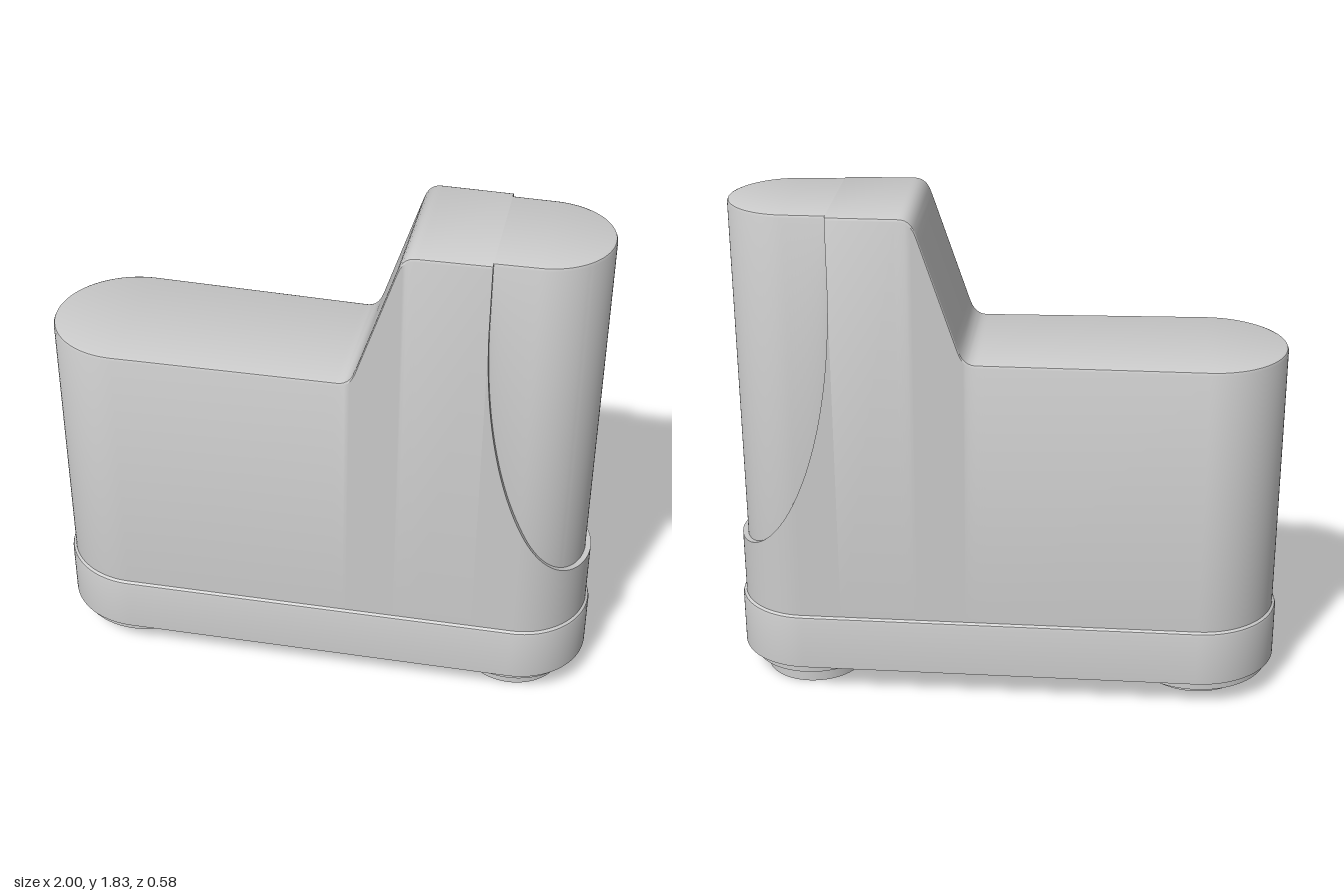
import * as THREE from 'three';
import { toCreasedNormals } from 'three/addons/utils/BufferGeometryUtils.js';

const material = new THREE.MeshStandardMaterial({ color: 0xcccccc });

// Tapered stadium plan: two end circles joined by tangent lines
const LEFT = { x: -0.708, r: 0.28 }, RIGHT = { x: 0.735, r: 0.25 };
const TILT = Math.asin((LEFT.r - RIGHT.r) / (RIGHT.x - LEFT.x));
const SPLIT = 0.593, INSET = 0.02, ROUND = 0.012;

// Stations along the front half of the outline, from the left tip to the right tip
function makeStations() {
  const list = [];
  const add = (cx, r, angle, recessed = false) =>
    list.push({ cx, r, nx: Math.sin(angle), nz: Math.cos(angle), recessed });
  const N = 24;
  for (let i = 0; i <= N; i++) add(LEFT.x, LEFT.r, THREE.MathUtils.lerp(-Math.PI / 2, TILT, i / N));
  const straight = (x, recessed) => {
    const t = (x - LEFT.x) / (RIGHT.x - LEFT.x);
    add(x, THREE.MathUtils.lerp(LEFT.r, RIGHT.r, t), TILT, recessed);
  };
  const dx = RIGHT.r * Math.sin(TILT);
  for (let i = 0; i <= 32; i++) straight(0.06 + 0.3 * i / 32 - dx, false);
  straight(SPLIT - dx, false);
  for (let i = 0; i < 20; i++) straight(SPLIT - dx + (RIGHT.x - SPLIT + dx) * (i / 20) ** 2, true);
  for (let i = 0; i <= 32; i++) add(RIGHT.x, RIGHT.r, THREE.MathUtils.lerp(TILT, Math.PI / 2, i / 32), true);
  return list;
}
const stations = makeStations();

const place = (s, offset, y) => new THREE.Vector3(
  s.cx + s.nx * (s.r - offset), y, Math.max(0, s.nz * (s.r - offset)));

// Lofts rows [y, offset] around the outline, mirrored to the back, with end caps
function loft(rowsOf) {
  const out = [];
  const tri = (a, b, c) => {
    const area = b.clone().sub(a).cross(c.clone().sub(a)).length();
    if (area > 1e-9) for (const p of [a, b, c]) out.push(p.x, p.y, p.z);
  };
  const quad = (a, b, c, d) => { tri(a, b, c); tri(a, c, d); };
  const flip = (p) => new THREE.Vector3(p.x, p.y, -p.z);
  const columns = stations.map((s) => rowsOf(s).map(([y, o]) => place(s, o, y)));
  for (let i = 0; i + 1 < columns.length; i++) {
    const p = columns[i], q = columns[i + 1], last = p.length - 1;
    for (let j = 0; j < last; j++) {
      quad(p[j], q[j], q[j + 1], p[j + 1]);
      quad(flip(q[j]), flip(p[j]), flip(p[j + 1]), flip(q[j + 1]));
    }
    quad(p[last], q[last], flip(q[last]), flip(p[last]));
    quad(q[0], p[0], flip(p[0]), flip(q[0]));
  }
  const geometry = new THREE.BufferGeometry();
  geometry.setAttribute('position', new THREE.Float32BufferAttribute(out, 3));
  return toCreasedNormals(geometry, 0.5);
}

// Top line: low deck, slope and tower, with filleted corners
function makeTopLine() {
  const path = new THREE.Path();
  path.moveTo(-1.1, 1.32);
  path.lineTo(0.09, 1.32);
  path.quadraticCurveTo(0.135, 1.32, 0.153, 1.375);
  path.lineTo(0.288, 1.78);
  path.quadraticCurveTo(0.304, 1.83, 0.345, 1.83);
  path.lineTo(1.1, 1.83);
  return path.getPoints(10);
}
const topLine = makeTopLine();
function topAt(x) {
  const i = Math.max(1, topLine.findIndex((p) => p.x >= x));
  const a = topLine[i - 1], b = topLine[i];
  return THREE.MathUtils.mapLinear(x, a.x, b.x, a.y, b.y);
}

// Lower edge of the recessed tower end: a quarter ellipse
function recessAt(x) {
  const u = THREE.MathUtils.clamp((0.985 - x) / (0.985 - SPLIT), 0, 1);
  return 1.6 - 1.045 * Math.sqrt(1 - u * u);
}

function bodyRows(s) {
  const x = s.cx + s.nx * s.r;
  const top = topAt(x), inset = s.recessed ? INSET : 0;
  const edge = s.recessed ? recessAt(x) : top - ROUND;
  return [
    [0.3, 0], [edge, 0], [edge, inset], [top - ROUND, inset],
    [top - ROUND * 0.3, inset + ROUND * 0.3], [top, inset + ROUND],
  ];
}

const baseRows = () => [[0.105, -0.012], [0.3, -0.012], [0.31, -0.009], [0.318, 0.002]];

export function createModel() {
  const group = new THREE.Group();
  const add = (name, geometry, x = 0) => {
    const mesh = new THREE.Mesh(geometry, material);
    mesh.name = name;
    mesh.position.x = x;
    group.add(mesh);
  };
  // Profile runs from the underside centre outwards and up
  const turned = (points) => toCreasedNormals(
    new THREE.LatheGeometry(points.map(([r, y]) => new THREE.Vector2(r, y)), 64).toNonIndexed(), 0.5);

  add('body', loft(bodyRows));
  add('basePlinth', loft(baseRows));

  // Wide stepped foot
  add('leftFoot', turned([
    [0, 0.02], [0.2, 0.02], [0.2, 0.042], [0.21, 0.042], [0.21, 0.068],
    [0.267, 0.068], [0.267, 0.107],
  ]), -0.71);

  // Narrow stepped foot with a blind centre hole
  add('rightFoot', turned([
    [0, 0.09], [0.035, 0.09], [0.035, 0], [0.183, 0], [0.183, 0.065],
    [0.229, 0.065], [0.229, 0.107],
  ]), 0.733);

  return group;
}
